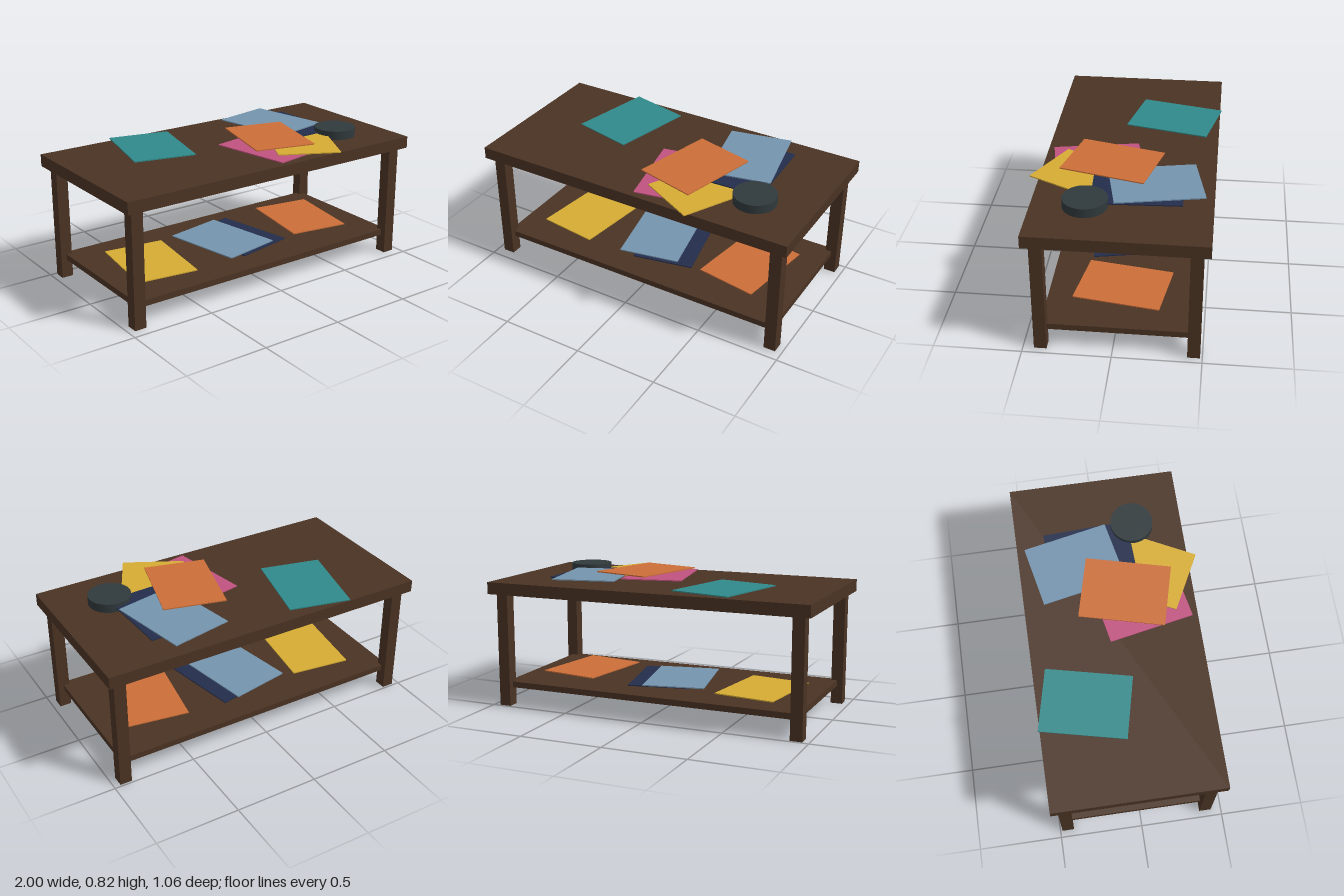
import * as THREE from 'three';

const material = (color) => new THREE.MeshStandardMaterial({ color });
const wood = material(0x4a3323);
const covers = {
  pink: material(0xc0527f),
  teal: material(0x31898a),
  yellow: material(0xd6ac33),
  navy: material(0x232d4b),
  blue: material(0x7494ae),
  orange: material(0xcb6e38),
};
const Z0 = -0.025; // middle of the table in depth

function box(name, size, position, mat) {
  const mesh = new THREE.Mesh(new THREE.BoxGeometry(...size), mat);
  mesh.name = name;
  mesh.position.set(...position);
  return mesh;
}

// Thin magazine lying flat, turned about the vertical axis (degrees)
function magazine(name, color, x, y, z, turn) {
  const mesh = box(name, [0.372, 0.0065, 0.505], [x, y, z], covers[color]);
  mesh.rotation.y = THREE.MathUtils.degToRad(turn);
  return mesh;
}

export function createModel() {
  const model = new THREE.Group();
  model.name = 'coffeeTable';

  // Table top, lower shelf (running to the leg centres) and four legs
  model.add(box('tableTop', [2, 0.072, 1], [0, 0.728, Z0], wood));
  model.add(box('lowerShelf', [1.85, 0.036, 0.854], [0, 0.128, Z0], wood));
  for (const sx of [1, -1]) {
    for (const sz of [1, -1]) {
      const name = (sz > 0 ? 'front' : 'back') + (sx > 0 ? 'Left' : 'Right') + 'Leg';
      model.add(box(name, [0.071, 0.692, 0.071], [sx * 0.925, 0.346, Z0 + sz * 0.427], wood));
    }
  }

  // Magazines scattered over the top, each a little higher than the last
  const topMagazines = [
    ['pink', 0.172, 0.16, 11],
    ['teal', -0.41, -0.246, -13.2],
    ['yellow', 0.361, 0.214, -27.3],
    ['navy', 0.487, -0.096, 2.7],
    ['blue', 0.447, -0.195, 11.5],
    ['orange', 0.227, 0.072, -14.5],
  ];
  topMagazines.forEach(([color, x, z, turn], i) => {
    model.add(magazine(color + 'TopMagazine', color, x, 0.769 + i * 0.0074, z, turn));
  });

  // Magazines on the shelf
  const shelfMagazines = [
    ['yellow', -0.575, -7.5],
    ['navy', 0.042, 11.5],
    ['blue', -0.053, 11],
    ['orange', 0.563, -9],
  ];
  shelfMagazines.forEach(([color, x, turn], i) => {
    model.add(magazine(color + 'ShelfMagazine', color, x, 0.153 + i * 0.0086, Z0, turn));
  });

  // Round dark dish on the top
  const dish = new THREE.Mesh(new THREE.CylinderGeometry(0.126, 0.126, 0.054, 32), material(0x30393c));
  dish.name = 'roundDish';
  dish.position.set(0.664, 0.791, 0.175);
  model.add(dish);

  return model;
}
